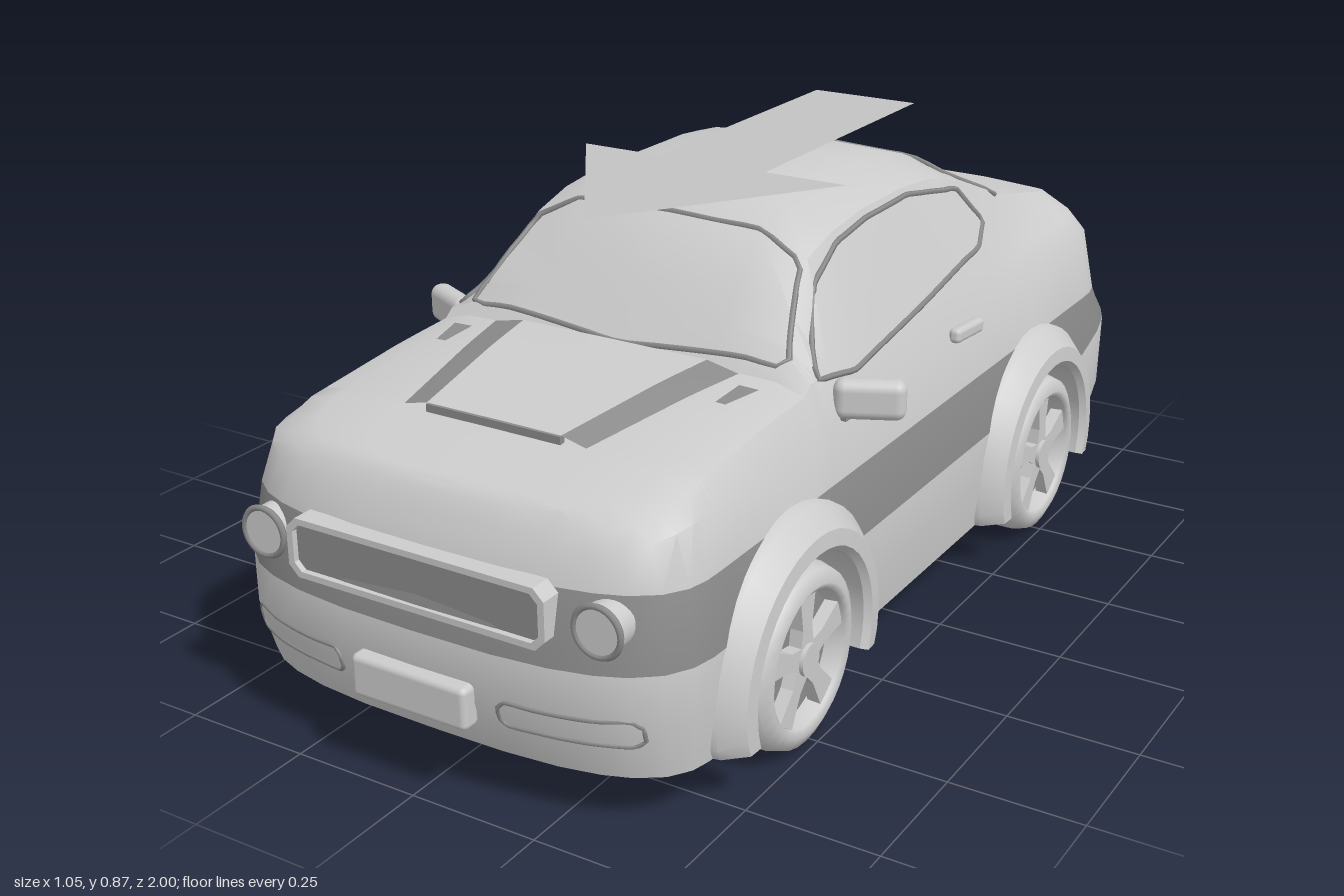
import * as THREE from 'three';
import { toCreasedNormals } from 'three/addons/utils/BufferGeometryUtils.js';
import { RoundedBoxGeometry } from 'three/addons/geometries/RoundedBoxGeometry.js';

const paint = new THREE.MeshStandardMaterial({ color: 0xcccccc, side: THREE.DoubleSide });
paint.name = 'paint';
const trim = new THREE.MeshStandardMaterial({ color: 0x8c8c8c, side: THREE.DoubleSide });
trim.name = 'trim';
const marker = new THREE.MeshStandardMaterial({ color: 0xc2c2c2, side: THREE.DoubleSide });
marker.name = 'marker';

const AXLES = [0.52, -0.51], WHEEL_R = 0.17, ARCH_R = 0.2;
const lerp = THREE.MathUtils.lerp, clamp = THREE.MathUtils.clamp;

// piecewise linear lookup, keys descending
function look(table, z) {
  if (z >= table[0][0]) return table[0][1];
  for (let i = 1; i < table.length; i++) {
    const [a, va] = table[i - 1], [b, vb] = table[i];
    if (z >= b) return lerp(vb, va, (z - b) / (a - b));
  }
  return table[table.length - 1][1];
}

// roof line, and rail half-width along the car
const ROOF = [[0.94, 0.5], [0.88, 0.54], [0.75, 0.575], [0.5, 0.598], [0.37, 0.604], [0.28, 0.715], [0.19, 0.81],
  [0.1, 0.842], [-0.02, 0.858], [-0.18, 0.857], [-0.3, 0.845], [-0.4, 0.82], [-0.6, 0.72], [-0.75, 0.68], [-0.9, 0.64]];
const RAIL = [[0.5, 0.33], [0.37, 0.335], [0.19, 0.295], [-0.3, 0.29], [-0.6, 0.33]];
// where each row of the section ends, at the nose and at the tail
const NOSE = [0.94, 0.94, 0.94, 0.94, 0.975, 0.975, 0.945, 0.93, 0.915, 0.9, 0.89, 0.885];
const TAIL = [-0.95, -0.95, -0.95, -0.95, -0.985, -1, -0.945, -0.94, -0.925, -0.905, -0.9, -0.9];

function archY(z, base) {
  for (const c of AXLES) {
    const d = Math.abs(z - c);
    if (d < ARCH_R) return WHEEL_R + Math.sqrt(ARCH_R ** 2 - d * d);
  }
  return base;
}

// point j of the half section at station s: floor, wheel well, side, roof
function bodyPoint(s, j) {
  let z = s, k = 1, tail = 0;
  if (s > 0.75) {
    const u = (s - 0.75) / 0.25;
    z = lerp(0.75, NOSE[j], u);
    k = Math.cbrt(1 - u ** 3);
  } else if (s < -0.75) {
    tail = (-s - 0.75) / 0.25;
    z = lerp(-0.75, TAIL[j], tail);
    k = (1 - tail ** 5) ** 0.2;
  }
  const floor = 0.1 + 0.05 * tail, yb = archY(z, floor), top = look(ROOF, z);
  const belt = Math.min(0.6, top - 0.02), h = top - belt;
  const shoulder = Math.min(0.52 + 0.04 * clamp((-0.3 - z) / 0.3, 0, 1), top - 0.04);
  const [x, y] = [
    [0, floor], [0.33, floor], [0.33, yb], [0.455, yb], [0.468, Math.max(0.2, yb)],
    [0.468, Math.max(0.3 + 0.08 * tail, yb)], [0.452, 0.43], [0.425, shoulder], [0.392, belt],
    [look(RAIL, z), belt + 0.8 * h], [0.2, belt + 0.97 * h], [0, top]][j];
  return new THREE.Vector3(x * k, y, z);
}

// find the body surface from the side, from above and from the ends
function sideX(y, z) {
  for (let j = 5; j < 11; j++) {
    const a = bodyPoint(z, j), b = bodyPoint(z, j + 1);
    if (y <= b.y) return lerp(a.x, b.x, clamp((y - a.y) / (b.y - a.y), 0, 1));
  }
  return 0.2;
}
function topY(x, z) {
  const ax = Math.abs(x);
  for (let j = 7; j < 11; j++) {
    const a = bodyPoint(z, j), b = bodyPoint(z, j + 1);
    if (ax >= b.x) return lerp(a.y, b.y, clamp((a.x - ax) / (a.x - b.x), 0, 1));
  }
  return look(ROOF, z);
}
function endZ(x, y, front) {
  const ends = front ? NOSE : TAIL, n = front ? 3 : 5, mid = front ? 0.75 : -0.75;
  const ys = front ? [0.1, 0.2, 0.3, 0.43, 0.5] : [0.15, 0.2, 0.38, 0.43, 0.56];
  const table = ys.map((v, i) => [v, ends[i + 3]]).reverse();
  return lerp(mid, look(table, y), (1 - (Math.abs(x) / 0.462) ** n) ** (1 / n));
}

function buildBody() {
  const st = [1, 0.997, 0.985, 0.965, 0.94, 0.9, 0.85, 0.8, 0.75, 0.37, 0.28, 0.19, 0.1, 0.04, -0.02, -0.1, -0.18, -0.24,
    -0.75, -0.8, -0.86, -0.91, -0.94, -0.965, -0.98, -0.99, -0.997, -1];
  for (const c of AXLES) for (const d of [0.2001, 0.1999, 0.19, 0.17, 0.13, 0.07]) st.push(c + d, c - d);
  st.push(...AXLES);
  st.sort((a, b) => b - a);
  const N = 22, pos = [], main = [], dark = [];
  for (const s of st) for (let i = 0; i < N; i++) {
    const p = bodyPoint(s, i < 12 ? i : N - i);
    pos.push(i < 12 ? p.x : -p.x, p.y, p.z);
  }
  for (let i = 0; i < st.length - 1; i++) for (let j = 0; j < N; j++) {
    const row = j < 11 ? j : N - 1 - j, k = (j + 1) % N;
    const stripe = (row === 5 && st[i] > -0.93) || (row === 6 && st[i] < -0.96);
    const a = i * N + j, b = a + N, c = (i + 1) * N + k, d = i * N + k;
    (stripe ? dark : main).push(a, b, c, a, c, d);
  }
  const g = new THREE.BufferGeometry();
  g.setAttribute('position', new THREE.Float32BufferAttribute(pos, 3));
  g.setIndex([...main, ...dark]);
  g.addGroup(0, main.length, 0);
  g.addGroup(main.length, dark.length, 1);
  return toCreasedNormals(g, 0.6);
}

// grid of points from a function of two indices
function sheet(nu, nv, fn) {
  const pos = [], idx = [];
  for (let i = 0; i <= nu; i++) for (let j = 0; j <= nv; j++) pos.push(...fn(i, j));
  for (let i = 0; i < nu; i++) for (let j = 0; j < nv; j++) {
    const a = i * (nv + 1) + j, b = a + nv + 1;
    idx.push(a, b, b + 1, a, b + 1, a + 1);
  }
  const g = new THREE.BufferGeometry();
  g.setAttribute('position', new THREE.Float32BufferAttribute(pos, 3));
  g.setIndex(idx);
  return toCreasedNormals(g, 0.6);
}

// hood panel between two edges, each edge [x at rear, x at front, lift]
const hoodPanel = (e0, e1, z0, z1) => sheet(8, 4, (i, j) => {
  const t = i / 8, v = j / 4, z = lerp(z0, z1, t);
  const x = lerp(lerp(e1[0], e1[1], t), lerp(e0[0], e0[1], t), v);
  return [x, topY(x, z) + lerp(e1[2], e0[2], v), z];
});

// closed seam through points, subdivided so it hugs the surface
function seam(points, project, r = 0.006) {
  const path = [];
  points.forEach((p, i) => {
    const q = points[(i + 1) % points.length];
    for (let k = 0; k < 4; k++) path.push(project(lerp(p[0], q[0], k / 4), lerp(p[1], q[1], k / 4)));
  });
  return new THREE.TubeGeometry(new THREE.CatmullRomCurve3(path, true), path.length * 2, r, 5, true);
}

function roundRect(T, w, h, r) {
  const s = new T(), x = w / 2, y = h / 2;
  s.moveTo(-x + r, -y).lineTo(x - r, -y).lineTo(x, -y + r).lineTo(x, y - r);
  s.lineTo(x - r, y).lineTo(-x + r, y).lineTo(-x, y - r).lineTo(-x, -y + r).closePath();
  return s;
}

export function createModel() {
  const car = new THREE.Group();
  car.name = 'car';
  const add = (name, geo, mat, x = 0, y = 0, z = 0, parent = car) => {
    const m = new THREE.Mesh(geo, mat);
    m.name = name;
    m.position.set(x, y, z);
    parent.add(m);
    return m;
  };
  add('body', buildBody(), [paint, trim]);

  // window frames
  const onTop = (x, z) => new THREE.Vector3(x, topY(x, z), z);
  add('windshieldFrame', seam([[-0.34, 0.345], [0, 0.365], [0.34, 0.345], [0.285, 0.2], [0.2, 0.185], [-0.2, 0.185], [-0.285, 0.2]], onTop), trim);
  add('rearWindowFrame', seam([[-0.33, -0.57], [0, -0.625], [0.33, -0.57], [0.27, -0.43], [0, -0.42], [-0.27, -0.43]], onTop), trim);
  const sideGlass = [[0.32, 0.6], [0.2, 0.73], [0.1, 0.775], [-0.02, 0.79], [-0.2, 0.79], [-0.4, 0.755], [-0.455, 0.68], [-0.4, 0.645], [-0.1, 0.61], [0.2, 0.58]];

  // hood scoop with dark sloping flanks
  add('hoodScoop', hoodPanel([0.2, 0.14, 0.016], [-0.2, -0.14, 0.016], 0.38, 0.74), paint);
  add('scoopLip', new THREE.BoxGeometry(0.28, 0.018, 0.012), trim, 0, 0.581, 0.737);

  // grille, number plates
  const frame = roundRect(THREE.Shape, 0.53, 0.11, 0.02);
  frame.holes.push(roundRect(THREE.Path, 0.505, 0.087, 0.015));
  add('grilleFrame', new THREE.ExtrudeGeometry(frame, { depth: 0.04, bevelEnabled: false }), paint, 0, 0.387, 0.932);
  add('grillePanel', new THREE.BoxGeometry(0.505, 0.09, 0.03), trim, 0, 0.387, 0.946);
  add('frontPlate', new RoundedBoxGeometry(0.24, 0.08, 0.04, 2, 0.012), paint, 0, 0.195, 0.98);
  add('rearPlate', new RoundedBoxGeometry(0.23, 0.06, 0.03, 2, 0.01), paint, 0, 0.495, -0.945);
  const groove = (y) => (i, j) => {
    const x = lerp(-0.37, 0.37, i / 16), v = y + 0.035 * j;
    return [x, v, endZ(x, v, false) - 0.004];
  };
  add('rearBumperGroove', sheet(16, 1, groove(0.205)), trim);

  // wheel parts
  const tyre = new THREE.LatheGeometry([[0, 0.36], [0.14, 0.36], [0.163, 0.375], [0.17, 0.4], [0.17, 0.46], [0.162, 0.488],
    [0.138, 0.5], [0.126, 0.492], [0.122, 0.45]].map((p) => new THREE.Vector2(...p)), 32).rotateZ(-Math.PI / 2);
  const spoke = new THREE.Shape([[-0.026, 0], [0.026, 0], [0.016, 0.06], [0.026, 0.124], [-0.026, 0.124], [-0.016, 0.06]].map((p) => new THREE.Vector2(...p)));
  const spokeGeo = new THREE.ExtrudeGeometry(spoke, { depth: 0.025, bevelEnabled: false }).rotateY(Math.PI / 2);
  const disc = (r, d) => new THREE.CylinderGeometry(r, r, d, 28).rotateZ(Math.PI / 2);

  // arch flare: a lip swept round the wheel opening
  const lip = [[0.195, 0.4], [0.195, 0.495], [0.205, 0.508], [0.235, 0.505], [0.272, 0.468], [0.278, 0.44]];
  const flare = (side) => sheet(24, 5, (i, j) => {
    const a = lerp(-0.34, Math.PI + 0.34, i / 24), [r, x] = lip[j];
    return [side * x, Math.max(0.1, WHEEL_R + r * Math.sin(a)), r * Math.cos(a)];
  });

  for (const side of [1, -1]) {
    const tag = side > 0 ? 'left' : 'right';
    AXLES.forEach((z, n) => {
      const wheel = new THREE.Group();
      wheel.name = tag + (n ? 'RearWheel' : 'FrontWheel');
      wheel.position.set(0, WHEEL_R, z);
      wheel.rotation.y = side > 0 ? 0 : Math.PI;
      car.add(wheel);
      add('tyre', tyre, paint, 0, 0, 0, wheel);
      add('rimBack', disc(0.123, 0.01), trim, 0.452, 0, 0, wheel);
      for (let k = 0; k < 5; k++) add('spoke', spokeGeo, paint, 0.462, 0, 0, wheel).rotation.x = (k * Math.PI * 2) / 5;
      add('hub', disc(0.03, 0.03), paint, 0.48, 0, 0, wheel);
      add(tag + 'ArchFlare', flare(side), paint, 0, 0, z);
    });
    add(tag + 'SideWindowFrame', seam(sideGlass, (z, y) => new THREE.Vector3(side * sideX(y, z), y, z)), trim);
    add(tag + 'DoorHandle', new RoundedBoxGeometry(0.025, 0.03, 0.12, 2, 0.01), paint, side * 0.43, 0.53, -0.22).rotation.x = -0.08;
    const mirror = add(tag + 'Mirror', new RoundedBoxGeometry(0.13, 0.075, 0.045, 3, 0.02), paint, side * 0.463, 0.558, 0.26);
    mirror.rotation.y = side * 0.45;
    add(tag + 'MirrorStalk', new THREE.BoxGeometry(0.06, 0.02, 0.03), trim, side * 0.405, 0.53, 0.28);
    add(tag + 'ScoopFlank', hoodPanel([side * 0.2, side * 0.14, 0.016], [side * 0.265, side * 0.19, 0.004], 0.38, 0.74), trim);
    add(tag + 'HoodVent', hoodPanel([side * 0.29, side * 0.29, 0.004], [side * 0.33, side * 0.31, 0.004], 0.42, 0.5), trim);

    // lights
    const lamp = (name, x, y, z, dir) => {
      add(name, disc(0.043, 0.06).rotateY(Math.PI / 2), paint, side * x, y, z);
      add(name + 'Ring', new THREE.TorusGeometry(0.044, 0.006, 6, 28), trim, side * x, y, z + dir * 0.028);
    };
    lamp(tag + 'Headlight', 0.345, 0.38, 0.915, 1);
    lamp(tag + 'TailLight', 0.285, 0.485, -0.925, -1);
    const fog = [[0.165, 0.18], [0.175, 0.17], [0.39, 0.17], [0.405, 0.18], [0.405, 0.205], [0.39, 0.217], [0.175, 0.217], [0.165, 0.205]];
    add(tag + 'FogLightSeam', seam(fog, (x, y) => new THREE.Vector3(side * x, y, endZ(x, y, true)), 0.004), trim);
    add(tag + 'Exhaust', new THREE.CylinderGeometry(0.022, 0.022, 0.08, 16).rotateX(Math.PI / 2), trim, side * 0.3, 0.15, -0.93);
  }

  // flat direction arrow lying over the roof
  const arrow = new THREE.Shape([[-0.118, 0.6], [-0.118, -0.035], [-0.29, -0.035], [0, -0.46], [0.29, -0.035], [0.118, -0.035], [0.118, 0.6]].map((p) => new THREE.Vector2(...p)));
  add('arrow', new THREE.ShapeGeometry(arrow).rotateX(-Math.PI / 2), marker, 0, 0.866, 0);
  return car;
}
